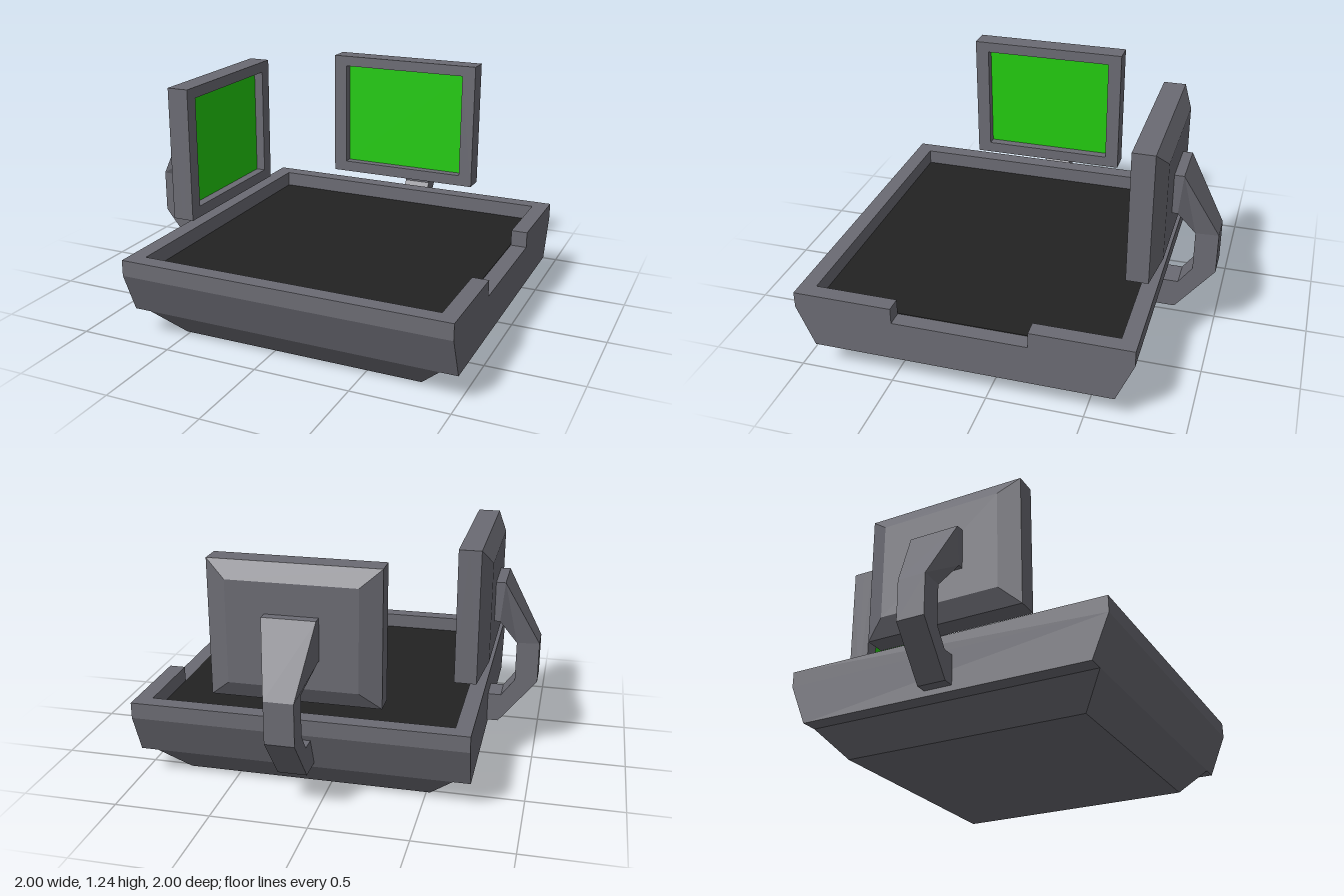
import * as THREE from 'three';

const grey = new THREE.MeshStandardMaterial({ name: 'casing grey', color: 0x6b6b73 });
const dark = new THREE.MeshStandardMaterial({ name: 'floor black', color: 0x222222 });
const green = new THREE.MeshStandardMaterial({ name: 'screen green', color: 0x22cc0e });

// Skins four-cornered rings into a capped, flat-faced solid;
// corners run counter-clockwise seen from the last ring's side.
function loft(rings) {
  const pos = [];
  const quad = (a, b, c, d) => pos.push(...a, ...b, ...c, ...a, ...c, ...d);
  for (let r = 0; r < rings.length - 1; r++) {
    const A = rings[r], B = rings[r + 1];
    for (let i = 0; i < 4; i++) {
      const j = (i + 1) % 4;
      quad(A[i], A[j], B[j], B[i]);
    }
  }
  quad(...[...rings[0]].reverse());
  quad(...rings[rings.length - 1]);
  const g = new THREE.BufferGeometry();
  g.setAttribute('position', new THREE.Float32BufferAttribute(pos, 3));
  g.computeVertexNormals();
  return g;
}

function add(parent, name, geometry, material) {
  const mesh = new THREE.Mesh(geometry, material);
  mesh.name = name;
  parent.add(mesh);
  return mesh;
}

const polygon = (pts) => new THREE.Shape(pts.map(([x, y]) => new THREE.Vector2(x, y)));
const flatRing = (hx, hz, y) => [[-hx, y, hz], [hx, y, hz], [hx, y, -hz], [-hx, y, -hz]];
const uprightRing = (h, y0, y1, z) => [[-h, y0, z], [h, y0, z], [h, y1, z], [-h, y1, z]];

function makeTray() {
  const tray = new THREE.Group();
  tray.name = 'tray';
  // tapered foot, then the body with sloping front and back
  add(tray, 'foot', loft([flatRing(0.65, 0.65, 0), flatRing(0.78, 0.78, 0.145)]), grey);
  add(tray, 'body', loft([flatRing(0.87, 0.78, 0.145), flatRing(0.87, 0.87, 0.36)]), grey);
  // raised rim, open at the entry notch on the +x side
  const o = 0.87, i = 0.785, n = 0.35;
  const rim = new THREE.ExtrudeGeometry(polygon([
    [o, n], [o, o], [-o, o], [-o, -o], [o, -o], [o, -n],
    [i, -n], [i, -i], [-i, -i], [-i, i], [i, i], [i, n],
  ]), { depth: 0.084, bevelEnabled: false });
  rim.rotateX(-Math.PI / 2).translate(0, 0.36, 0);
  add(tray, 'rim', rim, grey);
  add(tray, 'floor', new THREE.BoxGeometry(2 * i, 0.004, 2 * i), dark).position.y = 0.361;
  return tray;
}

function makeMonitor(name) {
  const monitor = new THREE.Group();
  monitor.name = name;
  // housing with bevelled back
  add(monitor, 'housing', loft([
    uprightRing(0.328, 0.62, 1.148, -0.89),
    uprightRing(0.433, 0.53, 1.235, -0.84),
    uprightRing(0.433, 0.53, 1.235, -0.78),
  ]), grey);
  // front frame around the recessed screen
  const frame = polygon([[-0.433, 0.53], [0.433, 0.53], [0.433, 1.235], [-0.433, 1.235]]);
  frame.holes.push(polygon([[-0.358, 0.59], [-0.358, 1.177], [0.358, 1.177], [0.358, 0.59]]));
  const frameGeo = new THREE.ExtrudeGeometry(frame, { depth: 0.055, bevelEnabled: false });
  add(monitor, 'frame', frameGeo.translate(0, 0, -0.78), grey);
  add(monitor, 'screen', new THREE.BoxGeometry(0.716, 0.587, 0.006), green)
    .position.set(0, 0.8835, -0.778);
  // bent arm: [outer reach, outer y, inner reach, inner y, half width]
  const sections = [
    [0.78, 0.175, 0.78, 0.33, 0.075],
    [0.93, 0.175, 0.94, 0.33, 0.075],
    [1.13, 0.425, 1.01, 0.425, 0.075],
    [1.13, 0.645, 1.01, 0.64, 0.075],
    [0.94, 0.99, 0.92, 0.775, 0.135],
    [0.88, 0.99, 0.88, 0.775, 0.135],
  ];
  add(monitor, 'arm', loft(sections.map(([od, oy, id, iy, w]) => [
    [-w, iy, -id], [w, iy, -id], [w, oy, -od], [-w, oy, -od],
  ])), grey);
  return monitor;
}

export function createModel() {
  const model = new THREE.Group();
  model.name = 'trayWithMonitors';
  const assembly = new THREE.Group();
  assembly.name = 'assembly';
  assembly.position.set(0.13, 0, 0.13);
  assembly.add(makeTray(), makeMonitor('backMonitor'));
  // the same monitor turned a quarter round to the -x side
  const side = makeMonitor('sideMonitor');
  side.rotation.y = Math.PI / 2;
  assembly.add(side);
  model.add(assembly);
  return model;
}
